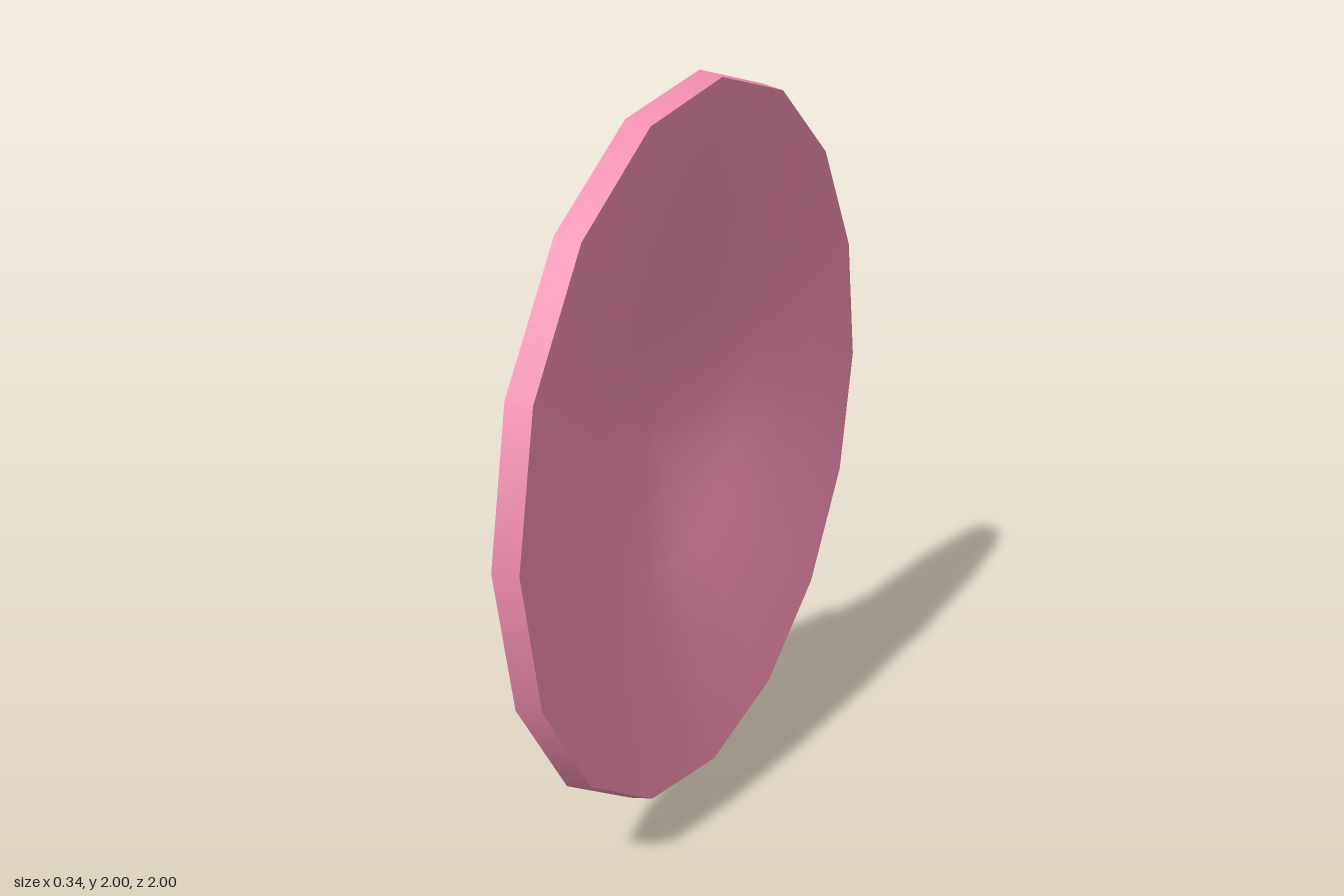
import * as THREE from 'three';

const SIDES = 16;
const grey = new THREE.MeshStandardMaterial({ color: 0xcccccc });
const pink = new THREE.MeshStandardMaterial({ color: 0xf48fb1 });
const yellow = new THREE.MeshStandardMaterial({ color: 0xf9d00f });

// Surface of revolution about the x axis; profile is [radius, x] from back to front
function turned(name, profile, material) {
  const points = profile.map(([r, x]) => new THREE.Vector2(r, x));
  const geometry = new THREE.LatheGeometry(points, SIDES);
  geometry.rotateZ(-Math.PI / 2);
  const mesh = new THREE.Mesh(geometry, material);
  mesh.name = name;
  return mesh;
}

export function createModel() {
  const model = new THREE.Group();
  model.name = 'dish';

  model.add(
    // Pointed hub at the back and its collar
    turned('hubCone', [[0, -0.17], [0.225, -0.08]], grey),
    turned('hubCollar', [[0.225, -0.08], [0.225, -0.055]], pink),
    // Flared back of the bowl
    turned('bowlBack', [[0.215, -0.055], [0.4, 0], [0.55, 0.043], [0.66, 0.07], [0.85, 0.108]], pink),
    // Raised ring round the back: inner wall and sloping face
    turned('ringInnerWall', [[0.85, 0.108], [0.87, 0.068]], yellow),
    turned('ringFace', [[0.87, 0.068], [1, 0.1]], yellow),
    // Outer edge and hollow front
    turned('rimEdge', [[1, 0.1], [0.985, 0.165]], pink),
    turned('bowlFront', [[0.985, 0.165], [0.66, 0.1], [0.4, 0.03], [0.22, -0.025], [0, -0.05]], pink),
  );

  model.position.y = 1;
  const root = new THREE.Group();
  root.add(model);
  return root;
}
